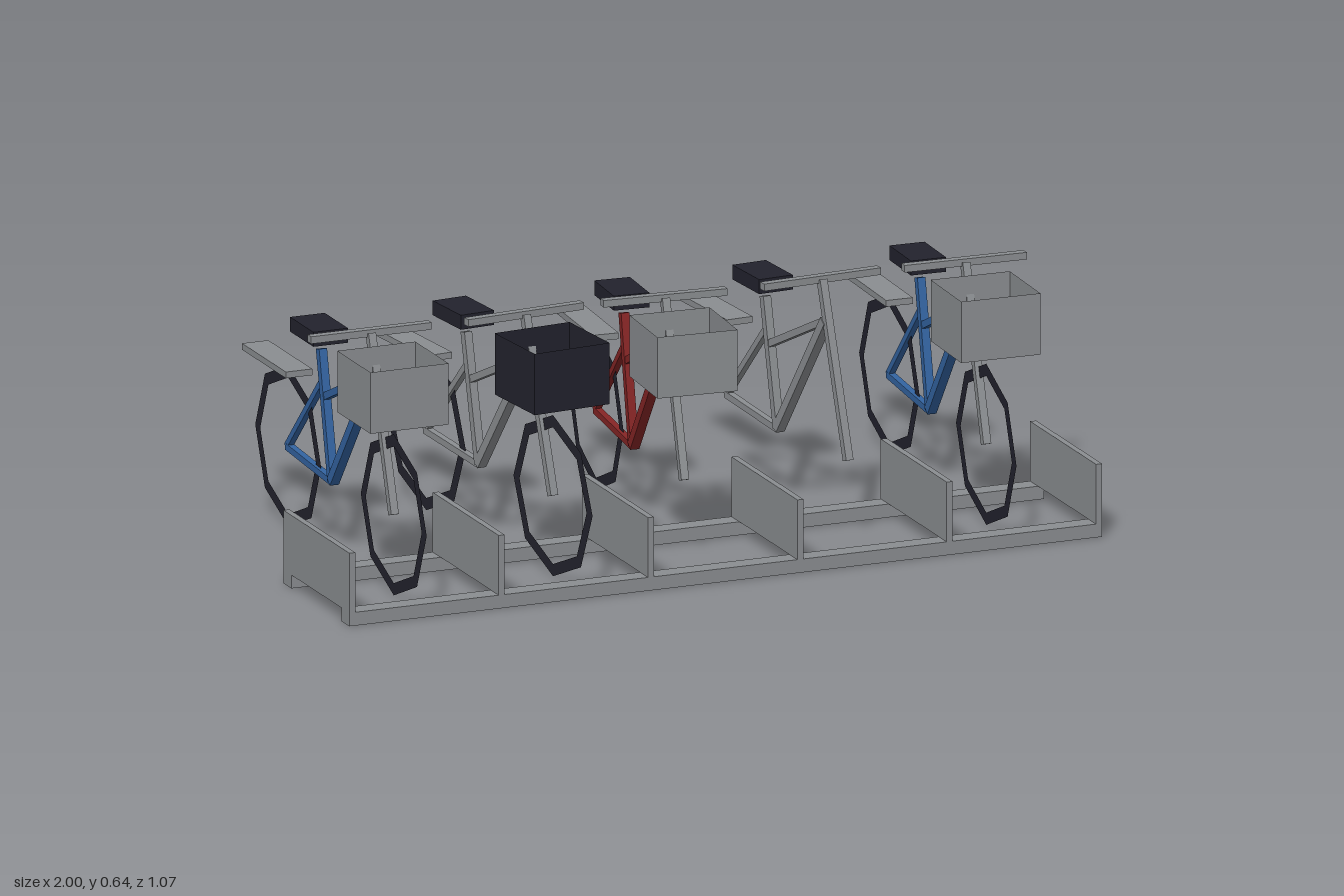
import * as THREE from 'three';

const mat = (name, color, side = THREE.FrontSide) => {
  const m = new THREE.MeshStandardMaterial({ color, side });
  m.name = name;
  return m;
};

export function createModel() {
  const grey = mat('grey metal', 0x8a8d90, THREE.DoubleSide);
  const black = mat('black rubber', 0x22222d, THREE.DoubleSide);
  const blue = mat('blue paint', 0x3363a0);
  const red = mat('red paint', 0x852525);

  const add = (parent, name, geometry, material, x = 0, y = 0, z = 0) => {
    const mesh = new THREE.Mesh(geometry, material);
    mesh.name = name;
    mesh.position.set(x, y, z);
    parent.add(mesh);
    return mesh;
  };
  const box = (parent, name, material, size, pos) =>
    add(parent, name, new THREE.BoxGeometry(...size), material, ...pos);

  // Square bar between two [z, y] points in the bike's middle plane
  const bar = (parent, name, material, [z1, y1], [z2, y2], width) => {
    const dz = z2 - z1, dy = y2 - y1;
    const mesh = box(parent, name, material, [width, width, Math.hypot(dz, dy)],
      [0, (y1 + y2) / 2, (z1 + z2) / 2]);
    mesh.rotation.x = -Math.atan2(dy, dz);
  };

  // Flat eight-sided hoop
  const wheel = (parent, name, z) => {
    add(parent, name, new THREE.RingGeometry(0.174, 0.205, 8, 1), black, 0, 0.206, z)
      .rotation.y = Math.PI / 2;
  };

  // Thin-walled basket, open at the top
  const basket = (parent, material) => {
    const g = new THREE.Group();
    g.name = 'basket';
    g.position.set(0, 0.45, 0.325);
    const w = 0.207, h = 0.156;
    add(g, 'basketFloor', new THREE.PlaneGeometry(w, w), material).rotation.x = Math.PI / 2;
    for (let i = 0; i < 4; i++) {
      const a = i * Math.PI / 2;
      add(g, 'basketWall', new THREE.PlaneGeometry(w, h), material,
        Math.sin(a) * w / 2, h / 2, Math.cos(a) * w / 2).rotation.y = a;
    }
    parent.add(g);
  };

  const bike = ({ x, yaw, paint, basketPaint, front, rear }) => {
    const g = new THREE.Group();
    g.name = 'bicycle';
    g.position.x = x;
    g.rotation.y = THREE.MathUtils.degToRad(yaw);

    // Frame
    const head = [0.211, 0.532], crank = [-0.049, 0.19], axle = [-0.327, 0.206];
    bar(g, 'downTube', paint, head, crank, 0.024);
    bar(g, 'seatTube', paint, crank, [-0.12, 0.509], 0.021);
    bar(g, 'topTube', paint, head, [-0.094, 0.394], 0.018);
    bar(g, 'seatStay', paint, [-0.109, 0.428], axle, 0.016);
    bar(g, 'chainStay', paint, crank, axle, 0.017);

    // Steering, saddle and carrier
    bar(g, 'fork', grey, [0.329, 0.206], [0.187, 0.63], 0.02);
    box(g, 'handlebar', grey, [0.32, 0.018, 0.022], [0, 0.631, 0.18]);
    box(g, 'saddle', black, [0.092, 0.037, 0.146], [0, 0.5525, -0.135]);
    box(g, 'rearCarrier', grey, [0.07, 0.016, 0.274], [0, 0.408, -0.396]);

    if (front) wheel(g, 'frontWheel', 0.33);
    if (rear) wheel(g, 'rearWheel', -0.327);
    if (basketPaint) basket(g, basketPaint);
    return g;
  };

  const model = new THREE.Group();
  model.name = 'bicycleRack';

  // Stand: two floor rails and six divider plates
  for (const z of [0.148, 0.509]) {
    box(model, 'floorRail', grey, [2, 0.034, 0.05], [0, 0.017, z]);
  }
  for (let i = 0; i < 6; i++) {
    box(model, 'divider', grey, [0.016, 0.152, 0.411], [-0.992 + i * 0.3968, 0.11, 0.3285]);
  }

  // Parked bicycles, some with missing wheels
  [
    { x: -0.795, yaw: 0, paint: blue, basketPaint: grey, front: true, rear: true },
    { x: -0.4, yaw: 5, paint: grey, basketPaint: black, front: true, rear: true },
    { x: 0, yaw: -4, paint: red, basketPaint: grey, front: false, rear: true },
    { x: 0.392, yaw: 3.7, paint: grey, basketPaint: null, front: false, rear: false },
    { x: 0.791, yaw: -2, paint: blue, basketPaint: grey, front: true, rear: true },
  ].forEach((b) => model.add(bike(b)));

  return model;
}
